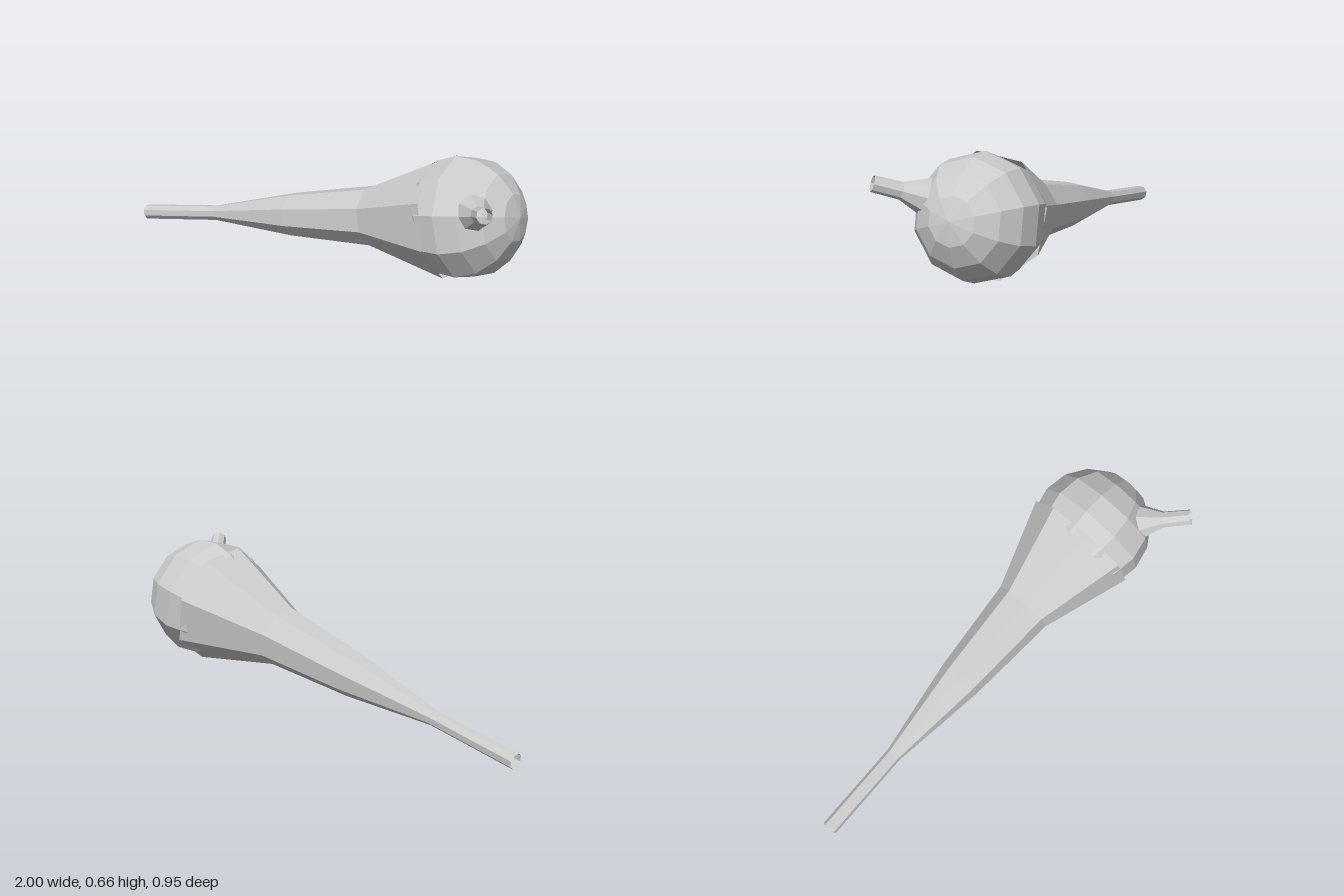
import * as THREE from 'three';

const V = (x, y, z) => new THREE.Vector3(x, y, z);
const material = new THREE.MeshStandardMaterial({
  color: 0xcccccc, flatShading: true, side: THREE.DoubleSide,
});

// Places a geometry built along +y so that it runs from one point towards another
function alongAxis(name, geometry, from, to) {
  const axis = to.clone().sub(from).normalize();
  const up = V(0, 1, 0).addScaledVector(axis, -axis.y).normalize();
  const side = up.clone().cross(axis);
  const mesh = new THREE.Mesh(geometry, material);
  mesh.name = name;
  mesh.quaternion.setFromRotationMatrix(new THREE.Matrix4().makeBasis(up, axis, side));
  mesh.position.copy(from);
  return mesh;
}

// Open eight-sided tube from [radius, distance along axis] pairs
function taperedTube(profile, startAngle) {
  const points = profile.map(([r, d]) => new THREE.Vector2(r, d));
  return new THREE.LatheGeometry(points, 8, THREE.MathUtils.degToRad(startAngle));
}

export function createModel() {
  const group = new THREE.Group();
  group.name = 'gourd';

  const tailTip = V(-0.985, 0.039, -0.445);
  const headCentre = V(0.73, 0.4, 0.054);
  const headDistance = tailTip.distanceTo(headCentre);

  // Long neck, thin at the open tip and flaring into the round head
  group.add(alongAxis('neck', taperedTube([
    [0.036, 0],
    [0.036, 0.44],
    [0.102, 0.9],
    [0.138, 1.342],
    [0.275, headDistance - 0.075],
  ], 16), tailTip, headCentre));

  // Faceted round head, its pole in line with the neck
  const head = alongAxis('head', new THREE.SphereGeometry(0.275, 10, 8),
    tailTip, headCentre);
  head.position.copy(headCentre);
  group.add(head);

  // Short open spout on the front of the head
  const spoutBase = V(0.79, 0.48, 0.2);
  const spoutTip = V(0.9, 0.573, 0.46);
  group.add(alongAxis('spout', taperedTube([
    [0.108, 0],
    [0.088, 0.05],
    [0.037, 0.175],
    [0.035, spoutBase.distanceTo(spoutTip)],
  ], 10), spoutBase, spoutTip));

  return group;
}
